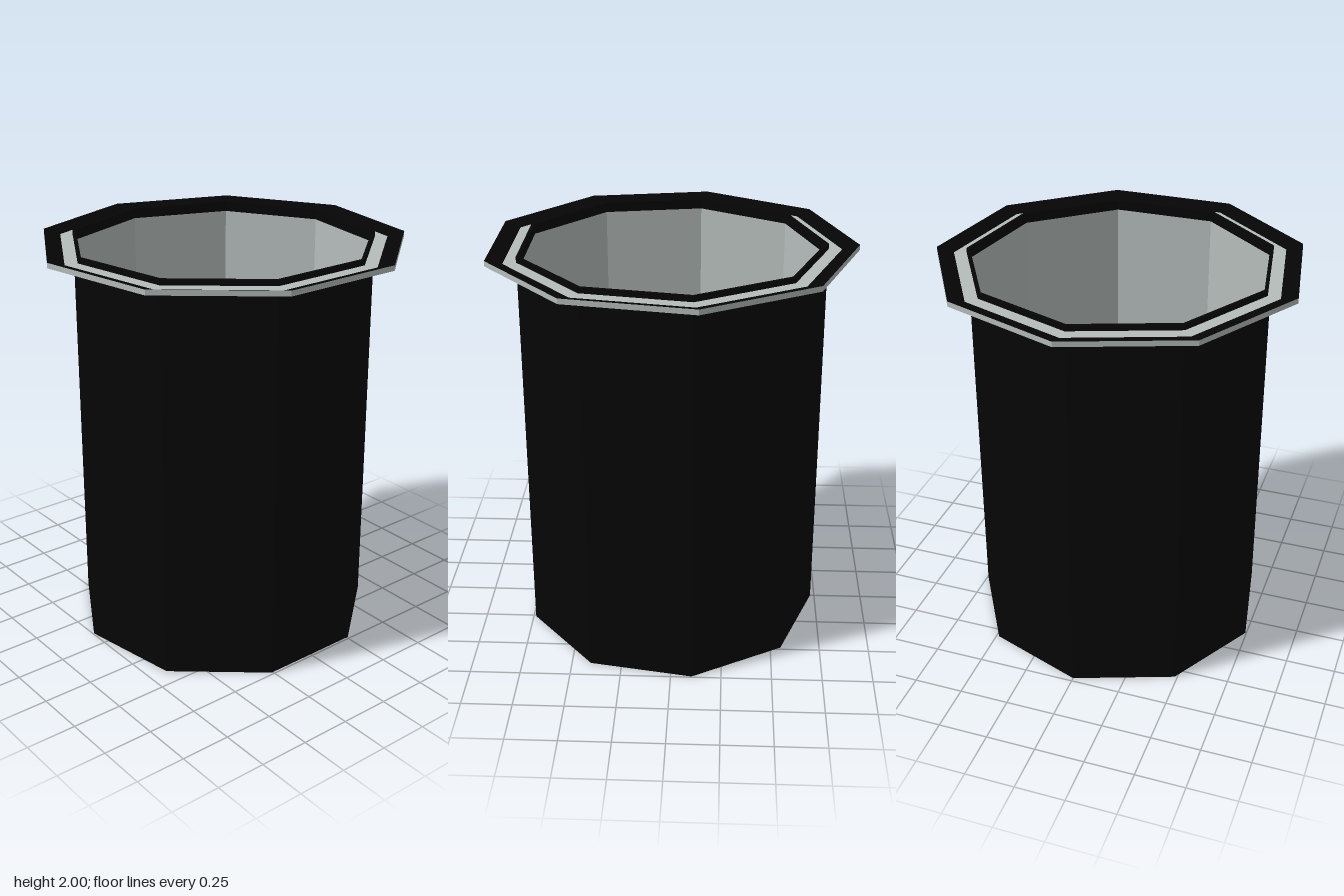
import * as THREE from 'three';

const SIDES = 9;
const RADIUS = 0.902;
// The corner points back, so the axis sits slightly forward of the middle
const AXIS_Z = RADIUS * (1 - Math.cos(Math.PI / SIDES)) / 2;

const finish = { flatShading: true, side: THREE.DoubleSide };
const black = new THREE.MeshStandardMaterial({ color: 0x050505, ...finish });
const grey = new THREE.MeshStandardMaterial({ color: 0xb5bdbb, ...finish });

// Nine-sided turned part with a corner pointing to the back.
// Profiles run up the outside, inwards over the top and down the inside.
function turned(name, material, profile) {
  const points = profile.map(([r, y]) => new THREE.Vector2(r, y));
  const mesh = new THREE.Mesh(new THREE.LatheGeometry(points, SIDES, Math.PI), material);
  mesh.name = name;
  mesh.position.z = AXIS_Z;
  return mesh;
}

export function createModel() {
  const group = new THREE.Group();
  group.name = 'container';
  group.add(
    // Outer shell with closed bottom, flaring out under the flange
    turned('outerShell', black, [[0, 0], [0.756, 0], [0.753, 1.95], [0.8, 1.97]]),
    // Underside and outer edge of the flange
    turned('flangeEdge', grey, [[0.8, 1.97], [RADIUS, 1.97], [RADIUS, 1.996]]),
    // Flange top, sloping down towards the groove
    turned('flangeTop', black, [[RADIUS, 1.996], [0.818, 1.973]]),
    // Flat pale ring in the groove
    turned('innerRing', grey, [[0.818, 1.973], [0.754, 1.973]]),
    // Thin raised lip around the opening
    turned('lip', black, [[0.754, 1.973], [0.754, 2], [0.737, 2], [0.737, 1.95]]),
    // Inner walls and floor
    turned('liner', grey, [[0.737, 1.95], [0.737, 0.03], [0, 0.03]])
  );
  return group;
}
